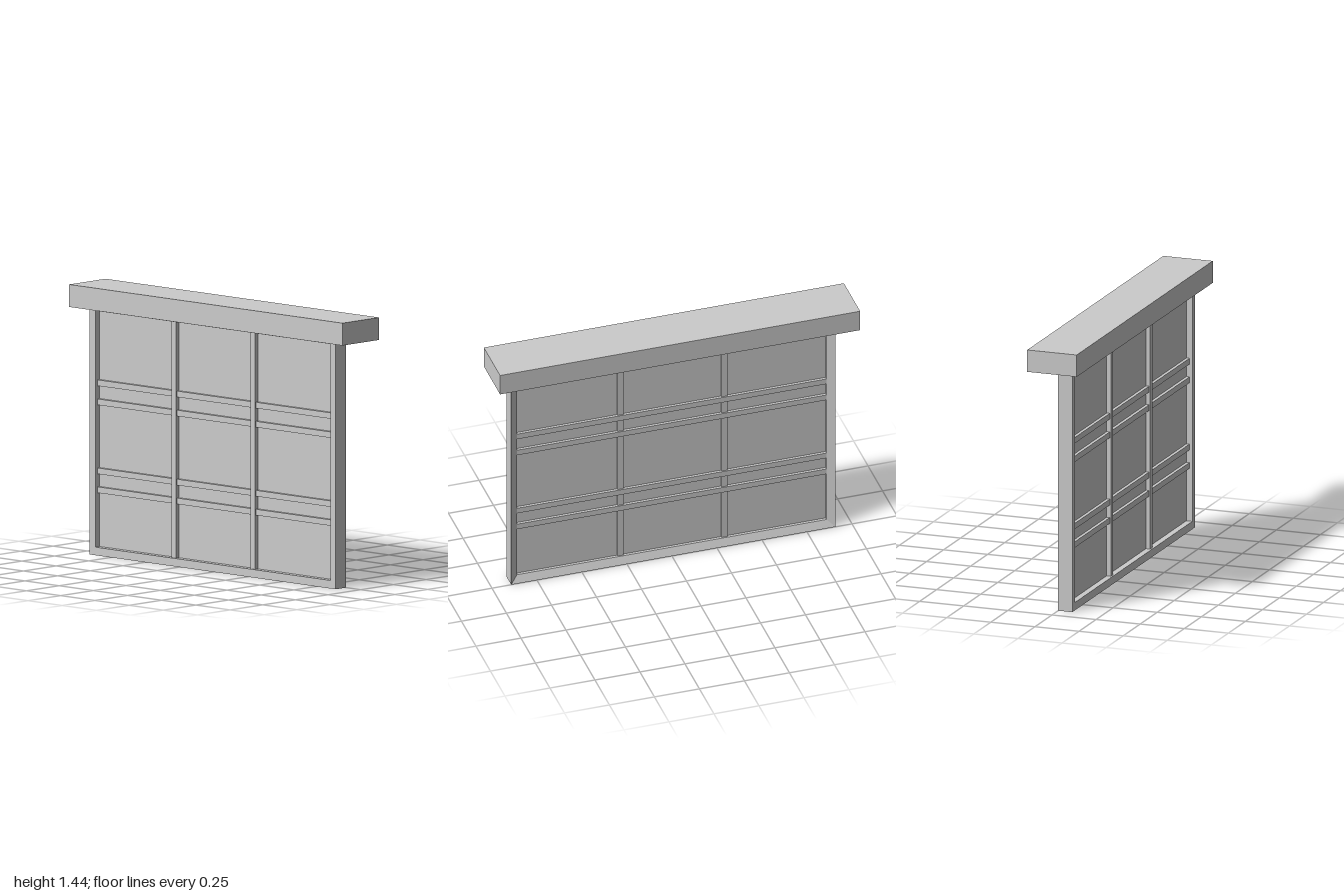
import * as THREE from 'three';

const material = new THREE.MeshStandardMaterial({ color: 0xcccccc });

// Box given by its minimum and maximum corners
function box(name, [x0, y0, z0], [x1, y1, z1]) {
  const geometry = new THREE.BoxGeometry(x1 - x0, y1 - y0, z1 - z0);
  const mesh = new THREE.Mesh(geometry, material);
  mesh.position.set((x0 + x1) / 2, (y0 + y1) / 2, (z0 + z1) / 2);
  mesh.name = name;
  return mesh;
}

// Rectangular loop of corners, counter-clockwise from the front
const loop = (x0, x1, y0, y1, z) => [[x0, y0, z], [x1, y0, z], [x1, y1, z], [x0, y1, z]];

// Mitred frame: joins successive loops, the last one back to the first
function frameGeometry(loops) {
  const positions = [];
  loops.forEach((ring, i) => {
    const next = loops[(i + 1) % loops.length];
    for (let j = 0; j < 4; j++) {
      const k = (j + 1) % 4;
      positions.push(...ring[j], ...ring[k], ...next[k], ...ring[j], ...next[k], ...next[j]);
    }
  });
  const geometry = new THREE.BufferGeometry();
  geometry.setAttribute('position', new THREE.Float32BufferAttribute(positions, 3));
  geometry.computeVertexNormals();
  return geometry;
}

export function createModel() {
  const model = new THREE.Group();
  model.name = 'window';

  // Header beam along the top
  model.add(box('header', [-1, 1.32, -0.14], [1, 1.44, 0.14]));

  // Outer frame: square at the front, bevelled inwards at the back
  const outer = [-0.908, 0.893, 0, 1.35];
  const inner = [-0.865, 0.855, 0.043, 1.307];
  const frame = new THREE.Mesh(frameGeometry([
    loop(...outer, 0), loop(...outer, 0.08), loop(...inner, 0.08), loop(...inner, 0.02),
  ]), material);
  frame.name = 'frame';
  model.add(frame);

  // Pane
  const [left, right, bottom, top] = inner;
  model.add(box('pane', [left, bottom, 0.036], [right, top, 0.046]));

  // Glazing bars on both sides of the pane
  const bars = new THREE.Group();
  bars.name = 'glazingBars';
  const half = 0.016;
  for (const x of [-0.3, 0.278]) {
    bars.add(box('verticalBar', [x - half, bottom, 0.027], [x + half, top, 0.07]));
  }
  for (const y of [0.348, 0.449, 0.818, 0.92]) {
    bars.add(box('horizontalBar', [left, y - half, 0.02], [right, y + half, 0.064]));
  }
  model.add(bars);

  return model;
}
